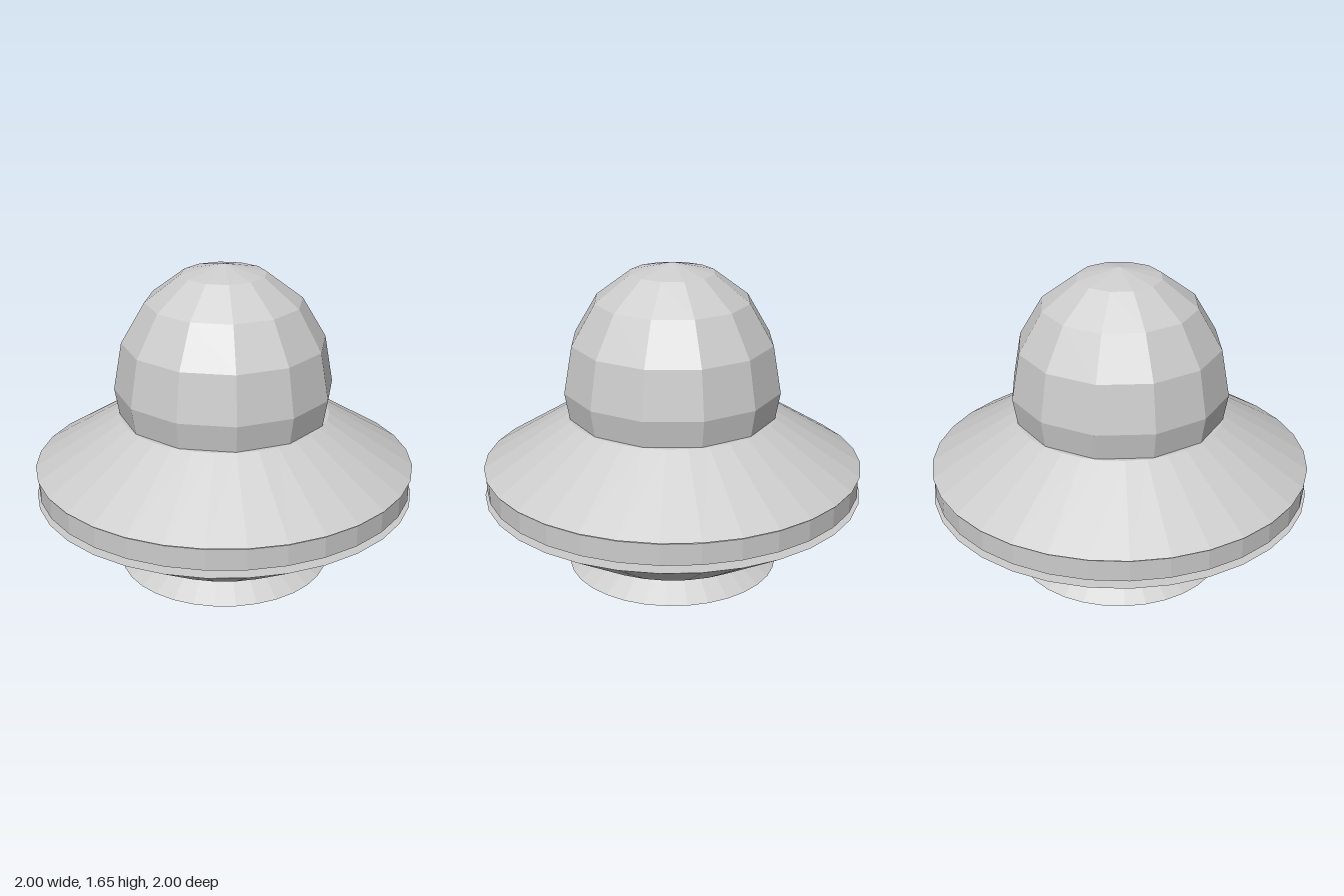
import * as THREE from 'three';

export function createModel() {
  const group = new THREE.Group();
  const grey = new THREE.MeshStandardMaterial({ color: 0xcccccc });
  grey.name = 'light grey';

  const addPart = (name, geometry) => {
    // split the corners so every facet stays flat
    const flat = geometry.toNonIndexed();
    flat.computeVertexNormals();
    const mesh = new THREE.Mesh(flat, grey);
    mesh.name = name;
    group.add(mesh);
    return mesh;
  };

  // closed round section between two heights
  const addRing = (name, topRadius, bottomRadius, bottom, top) => {
    const mesh = addPart(name, new THREE.CylinderGeometry(topRadius, bottomRadius, top - bottom, 32));
    mesh.position.y = (bottom + top) / 2;
  };

  // saucer body, from the foot up
  addRing('foot', 0.32, 0.563, 0, 0.16);
  addRing('lowerHull', 1, 0.56, 0.145, 0.425);
  addRing('rimBand', 0.99, 0.99, 0.46, 0.57);
  addRing('upperHull', 0.553, 1, 0.578, 0.858);

  // faceted cabin, a stretched sphere that reaches down through the hull
  const dome = addPart('dome', new THREE.SphereGeometry(1, 12, 8).scale(0.573, 0.65, 0.573));
  dome.position.y = 1;

  return group;
}
